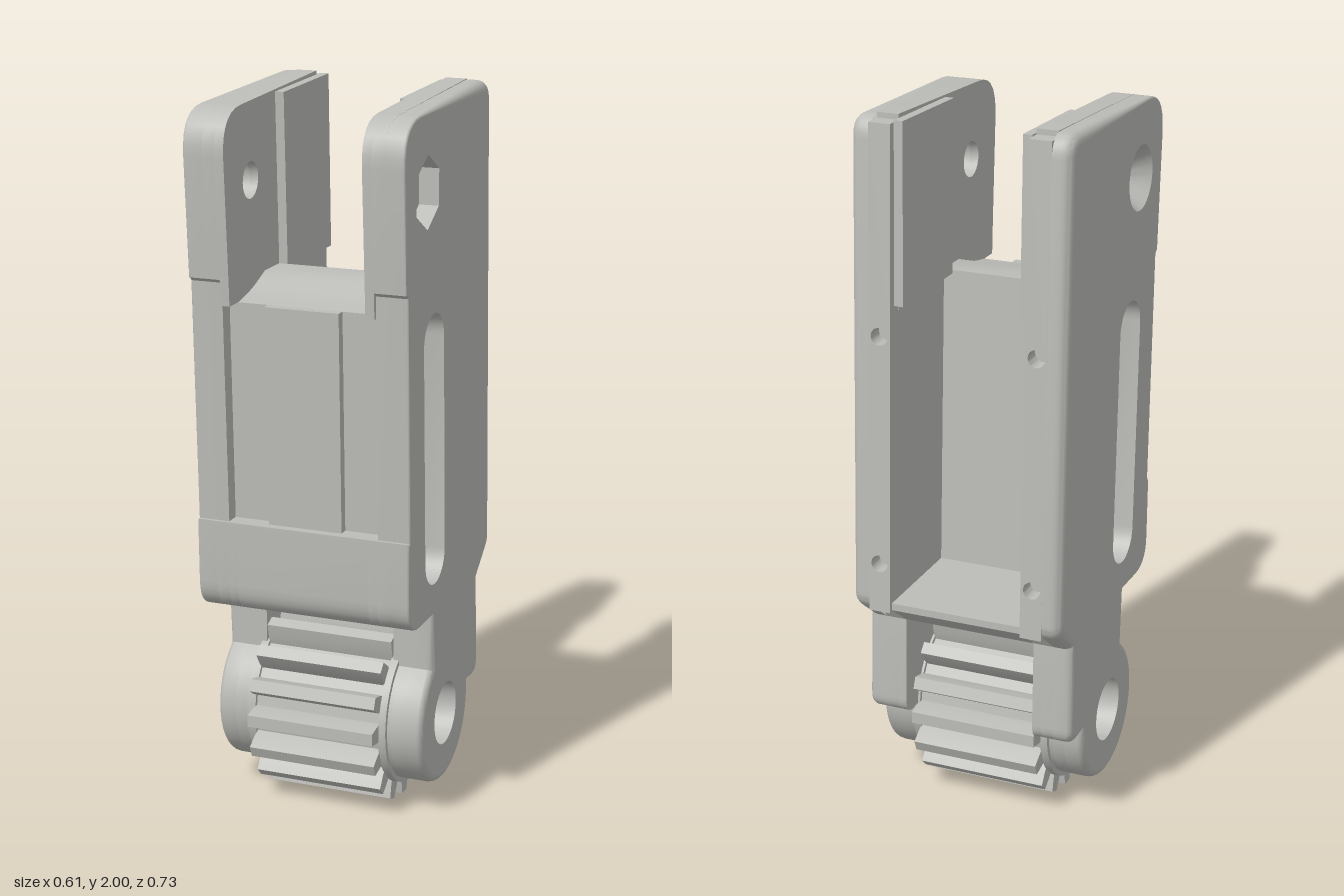
import * as THREE from 'three';
import { toCreasedNormals } from 'three/addons/utils/BufferGeometryUtils.js';

const grey = new THREE.MeshStandardMaterial({ color: 0xbcbcb8, side: THREE.DoubleSide });
grey.name = 'light grey';

const HUB = { z: 0.01, y: 0.265 };
const SLOPE = 0.041; // backward lean of the body
const V = (z, y) => new THREE.Vector2(-z, y); // side profiles are drawn as (-z, y)

function add(group, name, geo) {
  const mesh = new THREE.Mesh(toCreasedNormals(geo, 0.6), grey);
  mesh.name = name;
  group.add(mesh);
  return mesh;
}

// Turns [z, y, round] corners into a contour, softening corners with a curve
function rounded(corners) {
  const out = [];
  corners.forEach(([z, y, r], i) => {
    const p = V(z, y);
    if (!r) { out.push(p); return; }
    const n = corners.length;
    const [a, b] = [corners[(i + n - 1) % n], corners[(i + 1) % n]].map(([cz, cy]) =>
      V(cz, cy).sub(p).setLength(r).add(p));
    out.push(...new THREE.QuadraticBezierCurve(a, p, b).getPoints(7));
  });
  return out;
}

// Extrudes a side profile across x0..x1
function slab(points, holes, x0, x1) {
  const shape = new THREE.Shape(points);
  shape.holes = holes.map((h) => new THREE.Path(h));
  const geo = new THREE.ExtrudeGeometry(shape, { depth: x1 - x0, bevelEnabled: false });
  return geo.rotateY(Math.PI / 2).translate(x0, 0, 0);
}

function ring(z, y, r, n = 32, start = 0) {
  return Array.from({ length: n }, (_, i) => {
    const a = start + (i / n) * Math.PI * 2;
    return V(z + r * Math.cos(a), y + r * Math.sin(a));
  });
}

// Long side slot with round ends
function slot() {
  const pts = [];
  for (const [z, y, start] of [[0.137, 1.363, 0], [0.11, 0.76, Math.PI]])
    for (let i = 0; i <= 14; i++) {
      const a = start + (i / 14) * Math.PI;
      pts.push(V(z + 0.078 * Math.cos(a), y + 0.078 * Math.sin(a)));
    }
  return pts;
}

// Side wall outline: inset moves the back edge in, recessed cuts the front edge
function wallOutline(inset, recessed) {
  const hubArc = [];
  for (let i = 0; i <= 30; i++) {
    const a = THREE.MathUtils.degToRad(57 - (i / 30) * 231 - (i / 30) * 12);
    hubArc.push([HUB.z + 0.197 * Math.cos(a), HUB.y + 0.197 * Math.sin(a)]);
  }
  const soft = inset ? 0 : 0.06;
  const front = recessed
    ? [[0.341, 1.46], [0.285, 1.46], [0.265, 0.857]]
    : [[0.332, 1.52], [0.307, 0.857]];
  return rounded([
    [-0.365 + inset, 0.655, soft / 2], [-0.31 + inset, 2, soft],
    [0.375, 1.97, 0.12], [0.345, 1.53], ...front,
    [0.317, 0.857], [0.312, 0.595, 0.085], [0.12, 0.592],
    ...hubArc, [-0.275, 0.282, 0.05], [-0.265, 0.577],
  ]);
}

// Edge rounding: wide at the back, small at the front, medium round the hub
function edgeRadius(p) {
  if (p.y < 0.5) return 0.022;
  return THREE.MathUtils.clamp(THREE.MathUtils.mapLinear(p.x, -0.25, 0.29, 0.006, 0.03), 0.006, 0.03);
}

function insetOutline(points, amount) {
  const n = points.length;
  return points.map((p, i) => {
    const [m1, m2] = [[points[(i + n - 1) % n], p], [p, points[(i + 1) % n]]].map(([a, b]) => {
      const d = b.clone().sub(a).normalize();
      return new THREE.Vector2(-d.y, d.x);
    });
    const k = (amount * edgeRadius(p)) / Math.max(0.5, 1 + m1.dot(m2));
    return p.clone().add(m1.add(m2).multiplyScalar(k));
  });
}

// Rounded rim between the outline and its inset copy on the outer face
function rim(points, side, xIn, xOut) {
  const steps = 5, n = points.length, pos = [], idx = [];
  for (let k = -1; k <= steps; k++) {
    const a = (Math.max(k, 0) / steps) * Math.PI / 2;
    insetOutline(points, 1 - Math.cos(a)).forEach((q, i) => {
      const r = edgeRadius(points[i]);
      const x = k < 0 ? xIn : xOut - r + r * Math.sin(a);
      pos.push(side * x, q.y, -q.x);
    });
  }
  for (let k = 0; k <= steps; k++)
    for (let i = 0; i < n; i++) {
      const a = k * n + i, b = k * n + ((i + 1) % n), c = a + n, d = b + n;
      idx.push(...(side > 0 ? [a, b, d, a, d, c] : [a, d, b, a, c, d]));
    }
  const geo = new THREE.BufferGeometry();
  geo.setAttribute('position', new THREE.Float32BufferAttribute(pos, 3));
  geo.setIndex(idx);
  geo.computeVertexNormals();
  return geo;
}

function sideWall(side) {
  const g = new THREE.Group();
  g.name = side > 0 ? 'leftWall' : 'rightWall';
  const span = (a, b) => (side > 0 ? [a, b] : [-b, -a]);
  const bore = ring(HUB.z, HUB.y, 0.09);
  const pin = ring(0.197, 1.77, 0.05, 24);
  add(g, 'innerLayer', slab(wallOutline(0.05, true), [slot(), bore, pin], ...span(0.19, 0.215)));
  add(g, 'middleLayer', slab(wallOutline(0.05, false), [slot(), bore, pin], ...span(0.215, 0.25)));

  // Outer layer: hexagonal pocket on one side, countersink on the other
  const outline = wallOutline(0, false);
  const pocket = side > 0 ? ring(0.197, 1.77, 0.098, 6, Math.PI / 2) : ring(0.197, 1.77, 0.09, 32);
  add(g, 'outerLayer', slab(insetOutline(outline, 1), [slot(), bore, pocket], ...span(0.25, 0.305)));
  add(g, 'roundedRim', rim(outline, side, 0.25, 0.305));
  if (side < 0) {
    const cone = new THREE.CylinderGeometry(0.05, 0.09, 0.055, 32, 1, true);
    add(g, 'countersink', cone.rotateZ(-Math.PI / 2).translate(-0.2775, 1.77, 0.197));
  }

  // Back rail with screw holes, sheared to follow the lean
  const [x0, x1] = span(0.19, 0.252);
  const rail = new THREE.Shape([[x0, 0.64], [x1, 0.64], [x1, 1.985], [x0, 1.985]]
    .map(([x, y]) => new THREE.Vector2(x, y)));
  for (const y of [0.78, 1.42]) rail.holes.push(new THREE.Path().absarc(side * 0.222, y, 0.024, 0, Math.PI * 2, true));
  const railGeo = new THREE.ExtrudeGeometry(rail, { depth: 0.05, bevelEnabled: false });
  railGeo.applyMatrix4(new THREE.Matrix4().set(1, 0, 0, 0, 0, 1, 0, 0, 0, SLOPE, 1, -0.392, 0, 0, 0, 1));
  add(g, 'backRail', railGeo);

  // Thicker pad inside the upper wall
  const pad = [[-0.305, 1.5], [-0.288, 1.99], [0.03, 1.98], [0.01, 1.5]].map(([z, y]) => V(z, y));
  add(g, 'upperPad', slab(pad, [], ...span(0.165, 0.19)));

  // Collar between wall and gear
  add(g, 'hubCollar', slab(ring(HUB.z, HUB.y, 0.211, 48), [bore], ...span(0.183, 0.205)));
  return g;
}

export function createModel() {
  const model = new THREE.Group();
  model.name = 'hingedHousing';
  for (const side of [1, -1]) model.add(sideWall(side));

  // Core: floor, thick front wall and lower lip
  const core = rounded([
    [-0.355, 0.645], [-0.355, 0.665], [-0.03, 0.665], [0.01, 1.51], [0.107, 1.51],
    [0.2, 1.475, 0.05], [0.285, 1.46], [0.265, 0.857], [0.317, 0.857],
    [0.312, 0.595, 0.085], [0.12, 0.592], [-0.265, 0.577],
  ]);
  add(model, 'frontWallAndFloor', slab(core, [], -0.19, 0.19));

  // Raised centre strip in the front recess
  const strip = [[0.2, 0.857], [0.2, 1.46], [0.312, 1.46], [0.292, 0.857]].map(([z, y]) => V(z, y));
  add(model, 'frontCentreStrip', slab(strip, [], -0.105, 0.105));

  // Gear with sixteen tapered teeth
  const teeth = 16, outline = [];
  for (let i = 0; i < teeth; i++) {
    const mid = -Math.PI / 2 + (i / teeth) * Math.PI * 2;
    for (const [da, r] of [[-0.125, 0.2], [-0.105, 0.225], [-0.065, 0.261], [0.065, 0.261], [0.105, 0.225], [0.125, 0.2]])
      outline.push(V(HUB.z + r * Math.cos(mid + da), HUB.y + r * Math.sin(mid + da)));
  }
  add(model, 'gear', slab(outline, [ring(HUB.z, HUB.y, 0.09)], -0.185, 0.185));
  return model;
}
